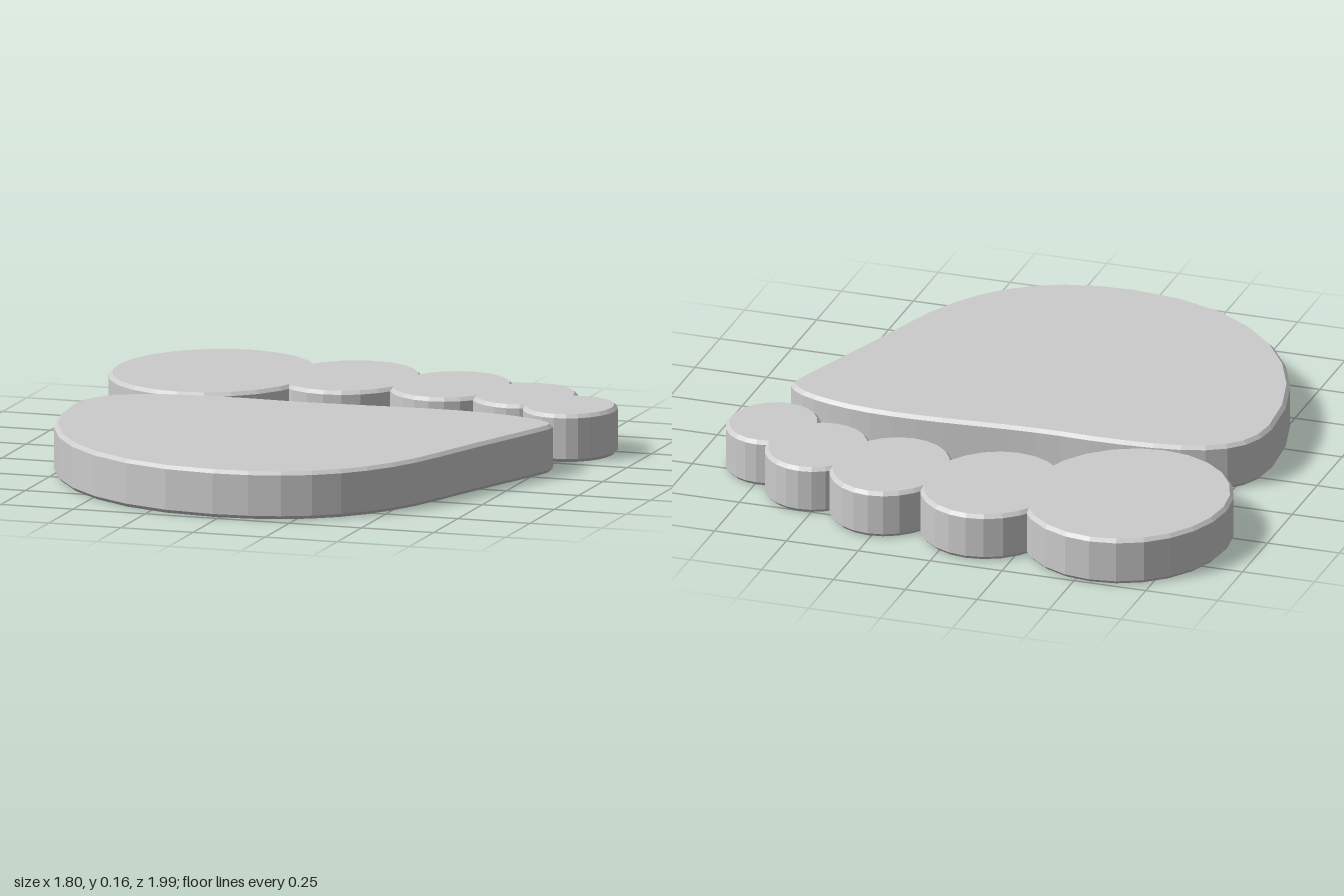
import * as THREE from 'three';

const HEIGHT = 0.16;
const BEVEL = 0.012;
const material = new THREE.MeshStandardMaterial({ color: 0xcccccc, flatShading: true });

// Lays a plan outline (x, -z) flat as a slab with a small chamfer inside the outline
function slab(name, shape, curveSegments) {
  const geometry = new THREE.ExtrudeGeometry(shape, {
    depth: HEIGHT - 2 * BEVEL,
    curveSegments,
    bevelThickness: BEVEL,
    bevelSize: BEVEL,
    bevelOffset: -BEVEL,
    bevelSegments: 1,
  });
  geometry.translate(0, 0, BEVEL);
  geometry.rotateX(-Math.PI / 2);
  const mesh = new THREE.Mesh(geometry, material);
  mesh.name = name;
  return mesh;
}

export function createModel() {
  const group = new THREE.Group();
  group.name = 'footprint';

  // Sole: rounded heel to the front, wide ball behind the toes
  const sole = new THREE.Shape();
  sole.moveTo(-0.02, -0.99);
  sole.bezierCurveTo(0.32, -0.99, 0.5, -0.8, 0.6, -0.48);
  sole.bezierCurveTo(0.67, -0.25, 0.77, 0, 0.79, 0.08);
  sole.bezierCurveTo(0.82, 0.17, 0.6, 0.24, 0.4, 0.24);
  sole.bezierCurveTo(0.15, 0.24, 0, 0.2, -0.28, 0.215);
  sole.bezierCurveTo(-0.6, 0.215, -0.82, 0.18, -0.82, -0.07);
  sole.bezierCurveTo(-0.82, -0.55, -0.5, -0.99, -0.02, -0.99);
  group.add(slab('sole', sole, 8));

  // Toes: overlapping ovals [name, x, z, x radius, z radius]
  const toes = [
    ['bigToe', -0.553, -0.612, 0.345, 0.388],
    ['secondToe', -0.105, -0.675, 0.235, 0.275],
    ['middleToe', 0.26, -0.64, 0.2, 0.24],
    ['fourthToe', 0.54, -0.567, 0.172, 0.198],
    ['littleToe', 0.742, -0.432, 0.155, 0.172],
  ];
  for (const [name, x, z, rx, rz] of toes) {
    const oval = new THREE.Shape();
    oval.absellipse(x, -z, rx, rz, 0, Math.PI * 2);
    group.add(slab(name, oval, 12));
  }

  return group;
}
